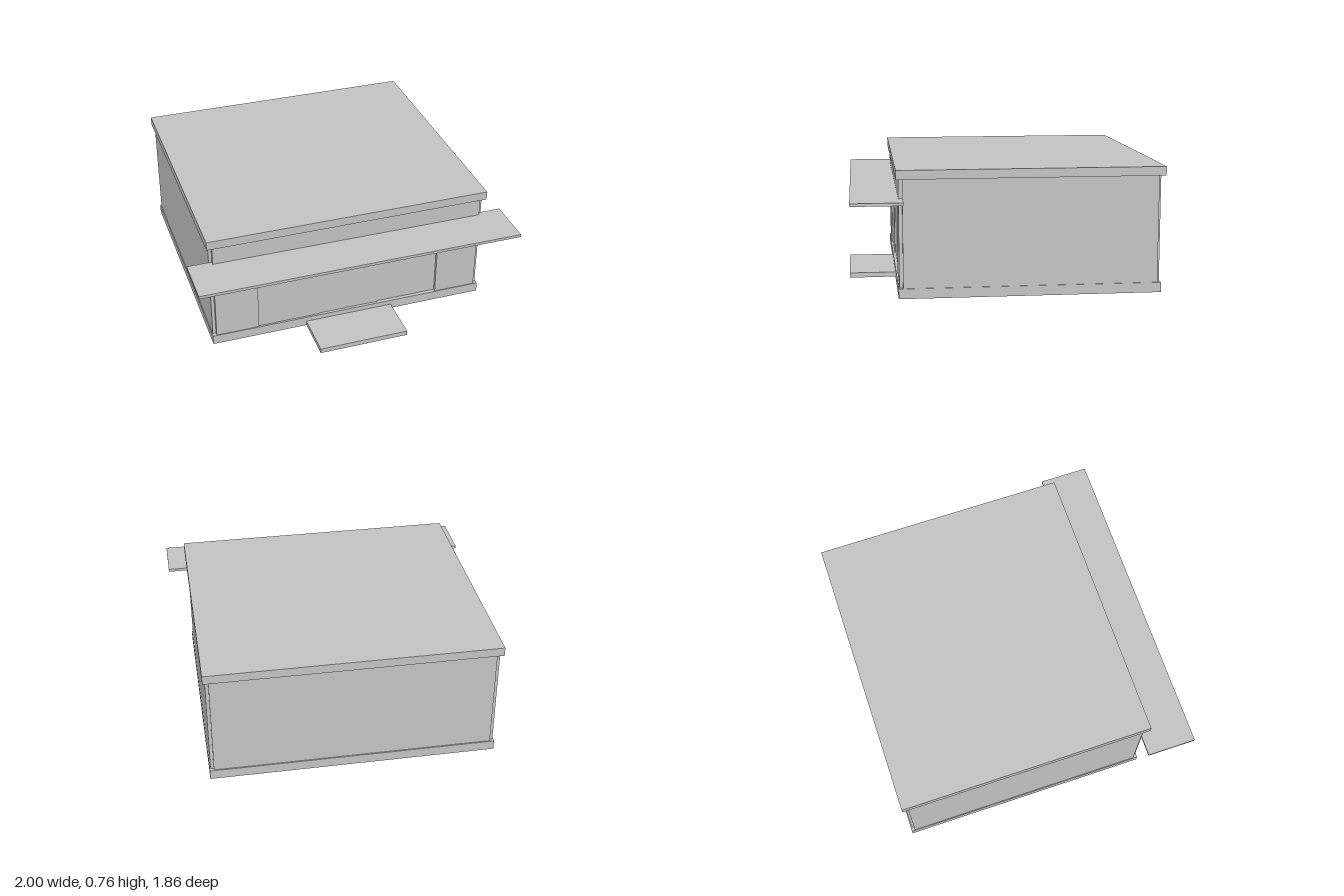
import * as THREE from 'three';

export function createModel() {
  const model = new THREE.Group();
  model.name = 'pavilion';
  const grey = new THREE.MeshStandardMaterial({ color: 0xc4c4c4 });
  grey.name = 'plain grey';

  // Box given by its lower and upper limits on each axis
  const box = (name, x0, x1, y0, y1, z0, z1) => {
    const mesh = new THREE.Mesh(new THREE.BoxGeometry(x1 - x0, y1 - y0, z1 - z0), grey);
    mesh.position.set((x0 + x1) / 2, (y0 + y1) / 2, (z0 + z1) / 2);
    mesh.name = name;
    model.add(mesh);
  };

  // Plinth, body and roof slab
  box('plinth', -0.875, 0.875, 0, 0.06, -0.915, 0.645);
  box('sideWalls', -0.87, 0.87, 0.06, 0.705, -0.893, 0.618);
  box('backWall', -0.85, 0.85, 0.06, 0.705, -0.907, -0.893);
  box('roof', -0.885, 0.885, 0.703, 0.757, -0.93, 0.655);

  // Front wall with a wide opening that reaches down to the plinth
  const w = 0.85, o = 0.583, top = 0.513;
  const outline = [[-w, 0.06], [-o, 0.06], [-o, top], [o, top], [o, 0.06], [w, 0.06], [w, 0.705], [-w, 0.705]];
  const shape = new THREE.Shape(outline.map(([x, y]) => new THREE.Vector2(x, y)));
  const frontWall = new THREE.Mesh(
    new THREE.ExtrudeGeometry(shape, { depth: 0.022, bevelEnabled: false }), grey);
  frontWall.position.z = 0.618;
  frontWall.name = 'frontWall';
  model.add(frontWall);

  // Three sliding panes, each set a little deeper than the last
  const paneWidth = (2 * o) / 3;
  for (let i = 0; i < 3; i++) {
    const x = -o + i * paneWidth;
    box('slidingPane' + (i + 1), x, x + paneWidth, 0.06, top, 0.615, 0.633 - i * 0.006);
  }
  box('doorTrack', -o, o, top, 0.533, 0.635, 0.645);

  // Canopy and entrance step
  box('canopy', -1, 1, 0.57, 0.588, 0.615, 0.92);
  box('entranceStep', -0.28, 0.28, 0, 0.03, 0.64, 0.93);

  return model;
}
